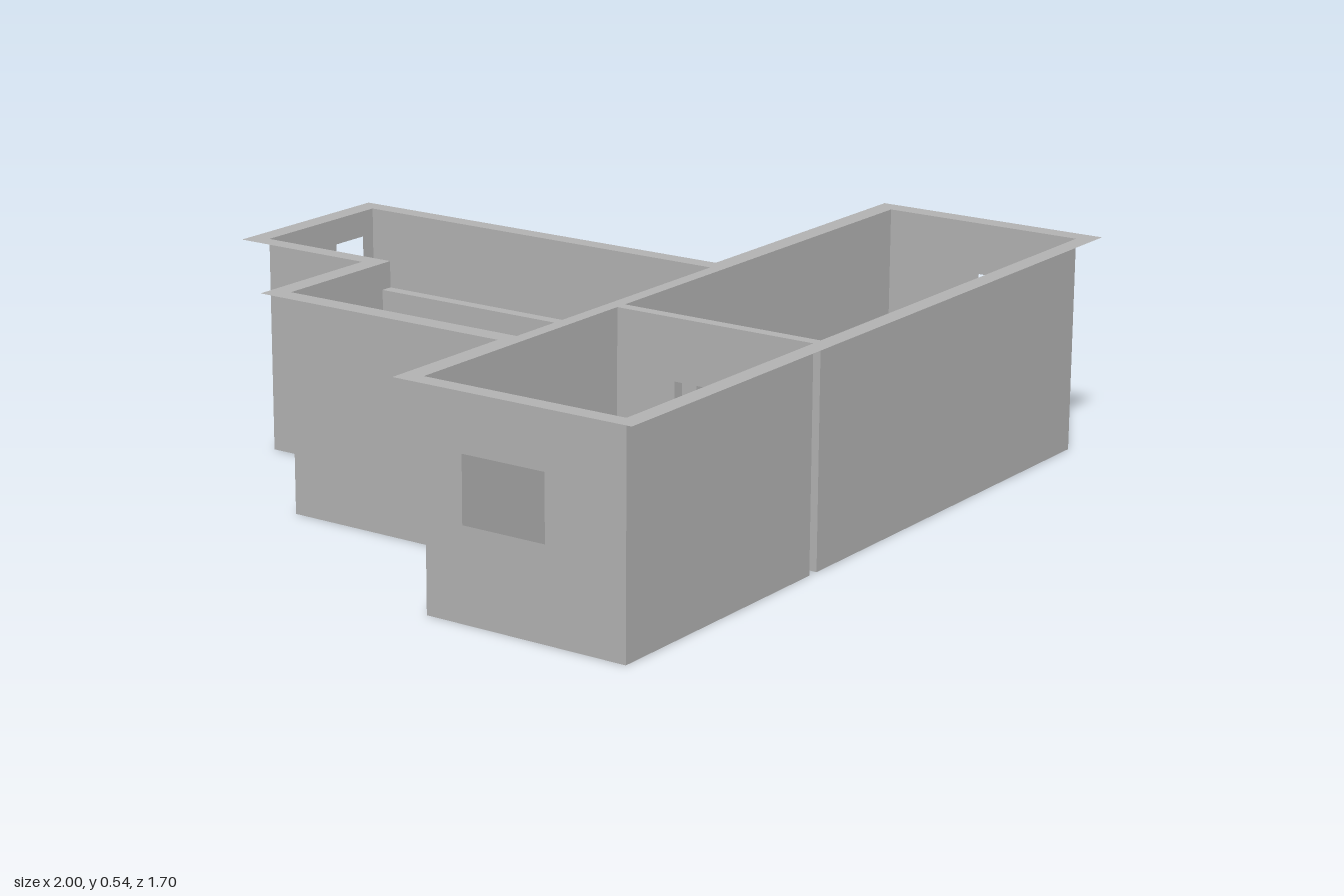
import * as THREE from 'three';

const H = 0.54;       // wall height
const LOW = 0.475;    // height of the lower partition
const DOOR = 0.39;    // inner door height

// room extents
const X0 = -0.955, X1 = -0.245, X2 = -0.215, X3 = 0.95;
const ZF = 0.80, ZB = 0.27, ZC = 0.235;
const CX = -0.58, CZ = -0.42, DX = 0.185, DZ = -0.80;

const poly = (pts, Type = THREE.Shape) => new Type(pts.map(([x, y]) => new THREE.Vector2(x, y)));
const rect = (a, b, y0, y1) => [[a, y0], [b, y0], [b, y1], [a, y1]];

export function createModel() {
  const model = new THREE.Group();
  model.name = 'floorPlanHouse';
  const grey = new THREE.MeshStandardMaterial({ color: 0xb2b2b2, side: THREE.DoubleSide });
  grey.name = 'wallGrey';

  // flat sheet from an outline with optional openings
  function sheet(name, outline, holes, parent = model) {
    const shape = poly(outline);
    shape.holes = holes.map((h) => poly(h, THREE.Path));
    const mesh = new THREE.Mesh(new THREE.ShapeGeometry(shape), grey);
    mesh.name = name;
    parent.add(mesh);
    return mesh;
  }
  // upright sheet running along x at a given z
  function wallX(name, z, outline, holes = [], parent = model) {
    sheet(name, outline, holes, parent).position.z = z;
  }
  // upright sheet running along z at a given x
  function wallZ(name, x, outline, holes = [], parent = model) {
    const m = sheet(name, outline, holes, parent);
    m.rotation.y = -Math.PI / 2;
    m.position.x = x;
  }
  // level sheet, outline given as x,z
  function level(name, y, outline, holes = [], parent = model) {
    const m = sheet(name, outline, holes, parent);
    m.rotation.x = Math.PI / 2;
    m.position.y = y;
  }
  function room(name) {
    const g = new THREE.Group();
    g.name = name;
    model.add(g);
    return g;
  }

  // openings
  const doorAB = rect(0.43, 0.66, 0, DOOR);
  const doorBD = rect(-0.09, 0.08, 0, DOOR);
  const doorCD = rect(-0.08, 0.09, 0, DOOR);
  // an opening touching the floor is cut as a notch in the outline
  const notched = (a, b, h, d0, d1, dh) =>
    [[a, 0], [d0, 0], [d0, dh], [d1, dh], [d1, 0], [b, 0], [b, h], [a, h]];

  // front room on the -x side
  const a = room('smallFrontRoom');
  level('floor', 0, rect(X0, X1, ZB, ZF), [], a);
  wallX('frontWall', ZF, rect(X0, X1, 0, H), [], a);
  wallX('backWall', ZB, rect(X0, X1, 0, H), [], a);
  wallZ('windowWall', X0, rect(ZB, ZF, 0, H), [rect(0.37, 0.59, 0.225, 0.385)], a);
  wallZ('doorWall', X1, notched(ZB, ZF, H, 0.43, 0.66, DOOR), [], a);

  // long front room with the entrance
  const b = room('longFrontRoom');
  level('floor', 0, rect(X2, X3, ZB, ZF), [], b);
  wallX('frontWall', ZF, rect(X2, X3, 0, H), [], b);
  wallX('backWall', ZB, notched(X2, X3, H, -0.09, 0.08, DOOR), [], b);
  wallZ('doorWall', X2, notched(ZB, ZF, H, 0.43, 0.66, DOOR), [], b);
  wallZ('entranceWall', X3, notched(ZB, ZF, H, 0.53, 0.71, 0.41), [], b);

  // short back room
  const c = room('shortBackRoom');
  level('floor', 0, rect(CX, X1, CZ, ZC), [], c);
  wallX('frontWall', ZC, rect(CX, X1, 0, H), [], c);
  wallX('backWall', CZ, rect(CX, X1, 0, H), [], c);
  wallZ('sideWall', CX, rect(CZ, ZC, 0, H), [], c);
  wallZ('partition', X1, notched(CZ, ZC, LOW, -0.08, 0.09, DOOR), [], c);

  // long back room
  const d = room('longBackRoom');
  level('floor', 0, rect(X2, DX, DZ, ZC), [], d);
  wallX('frontWall', ZC, notched(X2, DX, H, -0.09, 0.08, DOOR), [], d);
  wallX('windowWall', DZ, rect(X2, DX, 0, H), [rect(0.04, 0.145, 0.385, 0.475)], d);
  wallZ('sideWall', DX, rect(DZ, ZC, 0, H), [], d);
  wallZ('partition', X2, [[DZ, 0], [-0.08, 0], [-0.08, DOOR], [0.09, DOOR], [0.09, 0],
    [ZC, 0], [ZC, LOW], [CZ, LOW], [CZ, H], [DZ, H]], [], d);

  // cap and end steps of the lower partition
  level('partitionCap', LOW, rect(X1, X2, CZ, ZC));
  for (const z of [CZ, ZC]) wallX('partitionStep', z, rect(X1, X2, LOW, H));

  // door linings bridging the gaps between rooms
  function liningAcrossX(o) {
    const [z0, z1] = [o[0][0], o[1][0]];
    for (const z of [z0, z1]) wallX('doorJamb', z, rect(X1, X2, 0, DOOR));
    for (const y of [0, DOOR]) level('doorSill', y, rect(X1, X2, z0, z1));
  }
  function liningAcrossZ(o) {
    const [x0, x1] = [o[0][0], o[1][0]];
    for (const x of [x0, x1]) wallZ('doorJamb', x, rect(ZC, ZB, 0, DOOR));
    for (const y of [0, DOOR]) level('doorSill', y, rect(x0, x1, ZC, ZB));
  }
  liningAcrossX(doorAB);
  liningAcrossX(doorCD);
  liningAcrossZ(doorBD);

  // flat rim on top, overhanging the outer walls
  level('topRim', H,
    [[-1, 0.22], [-0.63, 0.22], [-0.63, -0.47], [-0.26, -0.47], [-0.26, -0.85], [0.23, -0.85],
      [0.23, 0.22], [1, 0.22], [1, 0.845], [-1, 0.845]],
    [rect(X0, X1, ZB, ZF), rect(X2, X3, ZB, ZF),
      [[CX, CZ], [X2, CZ], [X2, DZ], [DX, DZ], [DX, ZC], [CX, ZC]]]);

  return model;
}
